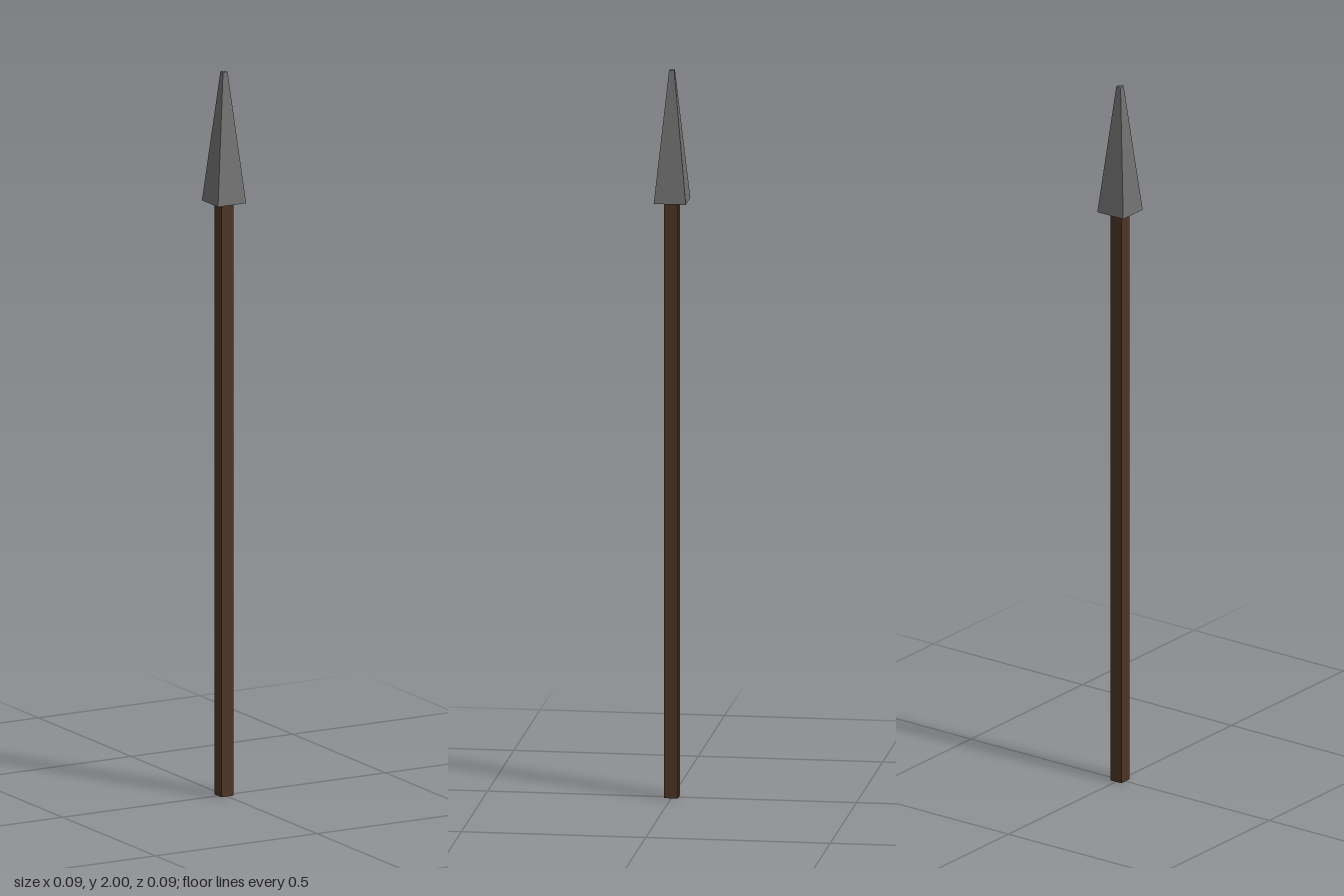
import * as THREE from 'three';

const SHAFT_TOP = 1.64;
const TOTAL = 2;

// Square-section frustum with faces square to the axes; sizes are half widths.
function squareFrustum(topHalf, bottomHalf, y0, y1) {
  const g = new THREE.CylinderGeometry(topHalf * Math.SQRT2, bottomHalf * Math.SQRT2, y1 - y0, 4);
  g.rotateY(Math.PI / 4);
  g.translate(0, (y0 + y1) / 2, 0);
  return g;
}

export function createModel() {
  const wood = new THREE.MeshStandardMaterial({ color: 0x4a3423, flatShading: true });
  wood.name = 'darkWood';
  const steel = new THREE.MeshStandardMaterial({ color: 0x707070, flatShading: true });
  steel.name = 'greySteel';

  const spear = new THREE.Group();
  spear.name = 'spear';

  // Long square pole
  const shaft = new THREE.Mesh(squareFrustum(0.0185, 0.0185, 0, SHAFT_TOP), wood);
  shaft.name = 'shaft';

  // Tapered head with a small blunt tip
  const head = new THREE.Mesh(squareFrustum(0.007, 0.0435, SHAFT_TOP, TOTAL), steel);
  head.name = 'spearHead';

  spear.add(shaft, head);
  return spear;
}
